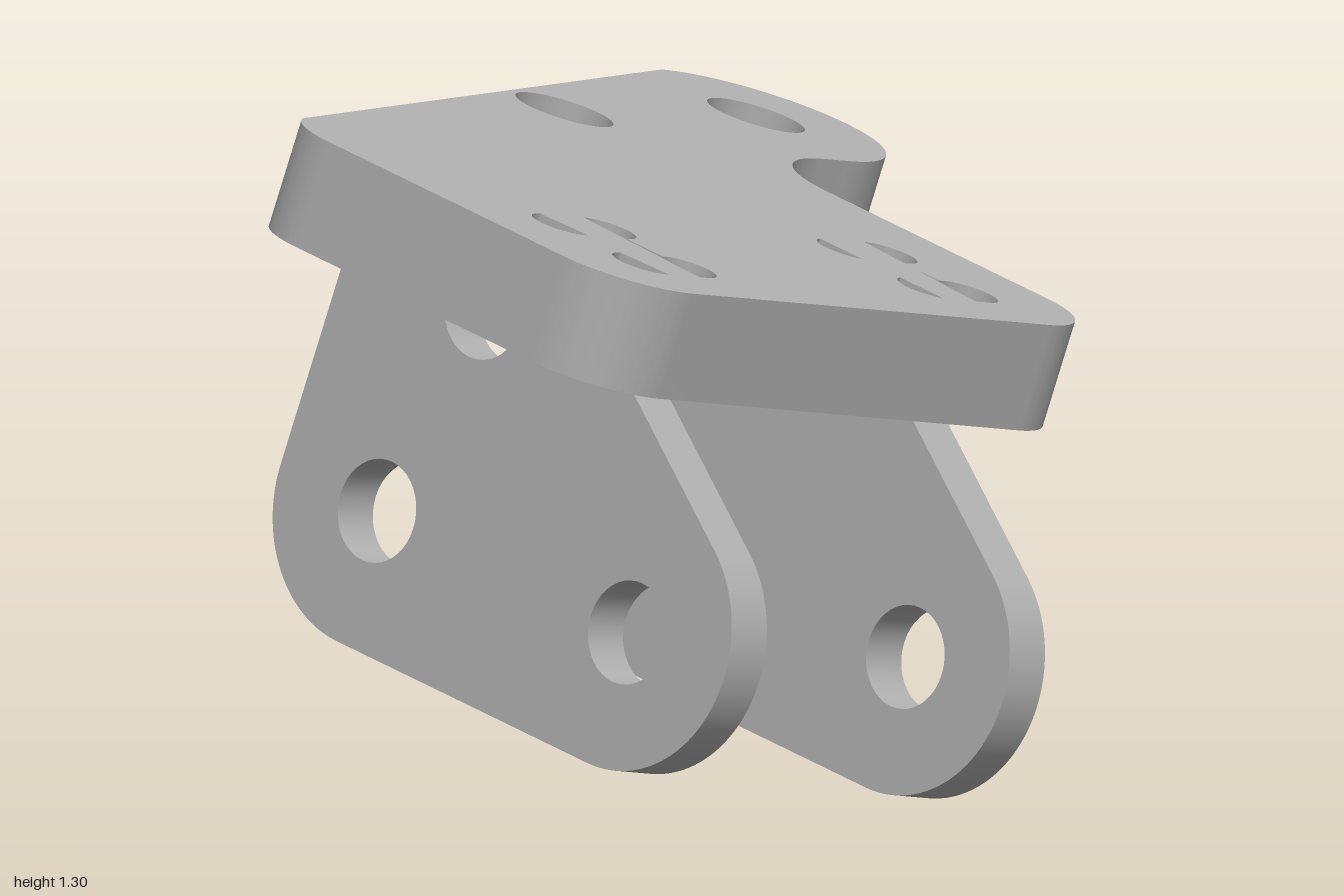
import * as THREE from 'three';
import { toCreasedNormals } from 'three/addons/utils/BufferGeometryUtils.js';

const THICK = 0.21;   // plate thickness
const LUG = 0.1;      // lug thickness

// Closed outline from corners [x, y, radius]; a fourth entry marks a half-round notch.
function outline(corners) {
  const shape = new THREE.Shape();
  corners.forEach(([x, y, r, notch], i) => {
    const p = new THREE.Vector2(x, y);
    if (notch) {
      shape.lineTo(x + r, y);
      shape.absarc(x, y, r, 0, Math.PI, true);
    } else if (!r) {
      if (i === 0) shape.moveTo(x, y);
      else shape.lineTo(x, y);
    } else {
      const n = corners.length;
      const dirTo = (k) => new THREE.Vector2(corners[k][0], corners[k][1]).sub(p).normalize();
      const a = dirTo((i + n - 1) % n), b = dirTo((i + 1) % n);
      const half = Math.acos(a.dot(b)) / 2;
      const c = a.clone().add(b).normalize().multiplyScalar(r / Math.sin(half)).add(p);
      const s = a.clone().multiplyScalar(r / Math.tan(half)).add(p).sub(c);
      const e = b.clone().multiplyScalar(r / Math.tan(half)).add(p).sub(c);
      shape.absarc(c.x, c.y, r, Math.atan2(s.y, s.x), Math.atan2(e.y, e.x), a.cross(b) > 0);
    }
  });
  shape.closePath();
  return shape;
}

function roundHole(x, y, r) {
  return new THREE.Path().absarc(x, y, r, 0, Math.PI * 2, true);
}

function extrude(shape, depth) {
  return new THREE.ExtrudeGeometry(shape, { depth, bevelEnabled: false, curveSegments: 20 });
}

// Cut-outs on both sides of a lug: two D holes and one double-lobed hole
const R = 0.06, ROWS = [-0.303, -0.52];
function lugCutouts(tipL, flatL, flatR, tipR) {
  const cL = tipL + R, cR = tipR - R, groove = flatR + 0.022;
  const phi = Math.acos(THREE.MathUtils.clamp((cL - flatL) / R, 0, 1));
  const paths = ROWS.map((y) => {
    const d = new THREE.Path();
    d.moveTo(flatL, y + R * Math.sin(phi));
    d.absarc(cL, y, R, Math.PI - phi, Math.PI + phi, false);
    d.lineTo(flatL, y - R * Math.sin(phi));
    d.closePath();
    return d;
  });
  const b = new THREE.Path();
  b.moveTo(flatR, ROWS[0] + R);
  b.absarc(cR, ROWS[0], R, Math.PI / 2, -Math.PI / 2, true);
  b.lineTo(groove, ROWS[0] - R);
  b.lineTo(groove, ROWS[1] + R);
  b.absarc(cR, ROWS[1], R, Math.PI / 2, -Math.PI / 2, true);
  b.lineTo(flatR, ROWS[1] - R);
  b.closePath();
  return [...paths, b];
}

export function createModel() {
  const model = new THREE.Group();
  model.name = 'mountingBracket';
  const metal = new THREE.MeshStandardMaterial({ color: 0xb0b0b0 });
  metal.name = 'greyMetal';

  const add = (name, geometry) => {
    const mesh = new THREE.Mesh(toCreasedNormals(geometry, 0.5), metal);
    mesh.name = name;
    bracket.add(mesh);
  };

  // Tilted frame: local y is the plate normal, y = 0 its upper face
  const bracket = new THREE.Group();
  bracket.name = 'bracket';
  const up = new THREE.Vector3(0.165, 1, 0.258).normalize();
  const across = new THREE.Vector3(1, -0.17, 0.02).normalize();
  const along = across.clone().cross(up).normalize();
  across.crossVectors(up, along);
  bracket.quaternion.setFromRotationMatrix(new THREE.Matrix4().makeBasis(across, up, along));
  bracket.position.y = 1.1;
  model.add(bracket);

  // Plate with rounded arm, two bolt holes and the lug cut-outs
  const plate = outline([
    [-0.004, 0.806, 0],
    [-0.956, 0.212, 0.17],
    [-0.956, -0.696, 0.18],
    [0.42, -0.696, 0.18],
    [0.42, 0.296, 0.22],
    [0.972, 0.296, 0.2549],
    [0.972, 0.806, 0.2549],
  ]);
  plate.holes.push(
    roundHole(0.093, 0.476, 0.096),
    roundHole(0.717, 0.551, 0.096),
    ...lugCutouts(-0.793, -0.722, -0.636, -0.55),
    ...lugCutouts(0.018, 0.06, 0.15, 0.25),
  );
  add('plate', extrude(plate, THICK).rotateX(-Math.PI / 2).translate(0, -THICK, 0));

  // Two matching lugs under the plate, each with two pin holes
  const lug = outline([
    [-1.6, -0.915, 0.26],
    [0.19, -0.915, 0.26],
    [0.19, -THICK, 0],
    [-0.175, -THICK, 0.1, true],
    [-0.43, -THICK, 0.04, true],
    [-0.55, -THICK, 0],
  ]);
  lug.holes.push(roundHole(-0.746, -0.655, 0.098), roundHole(-0.07, -0.655, 0.098));
  [['rightLug', -0.727], ['leftLug', 0.064]].forEach(([name, x]) => {
    add(name, extrude(lug, LUG).rotateY(Math.PI / 2).translate(x, 0, 0));
  });

  return model;
}
